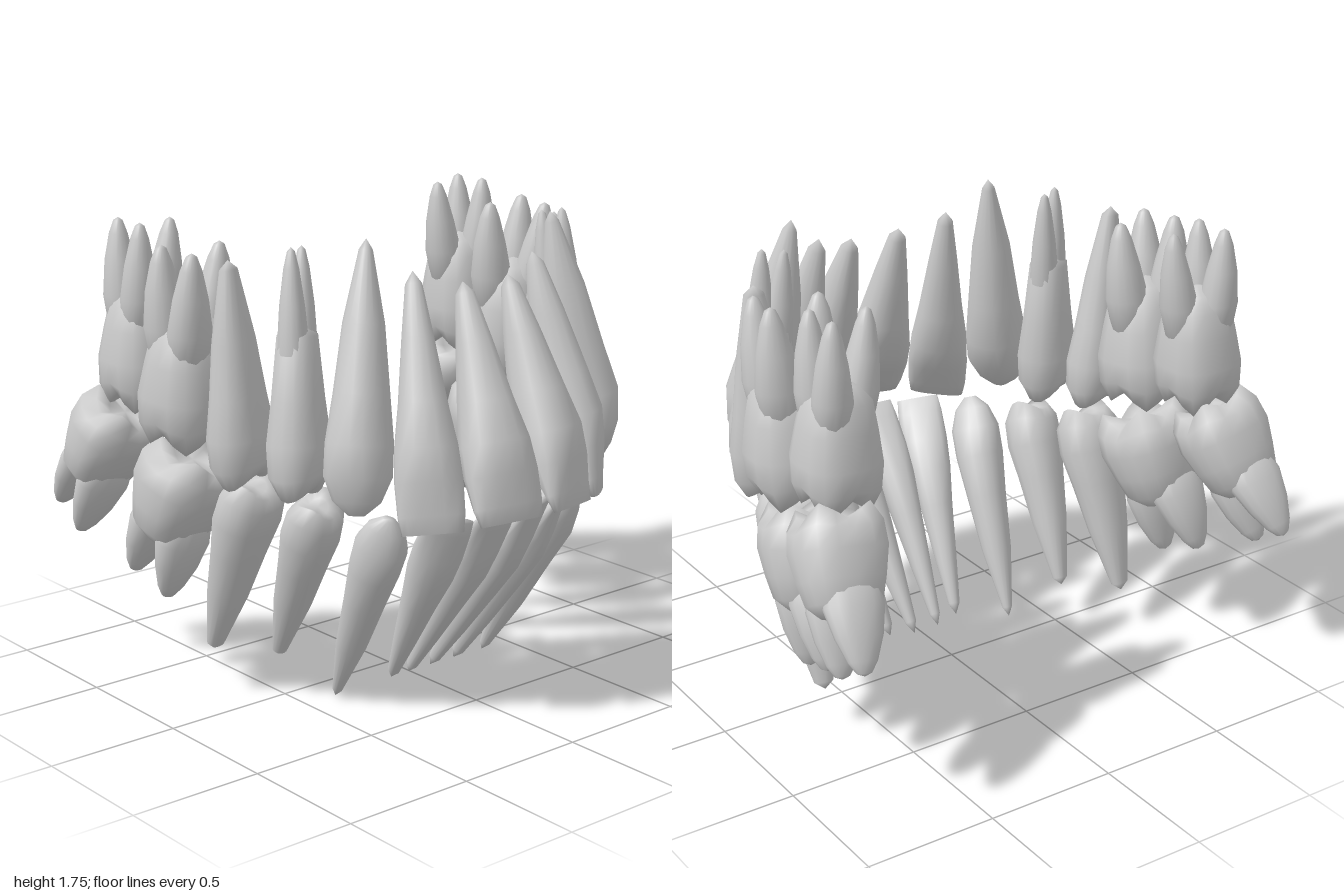
import * as THREE from 'three';

const SIDES = 16;
const material = new THREE.MeshStandardMaterial({ color: 0xcccccc });

// Skin over a stack of rings, closed by a point at both ends.
function loft(name, start, rings, end) {
  const points = [start, ...rings.flat(), end];
  const last = points.length - 1;
  const at = (i, j) => 1 + i * SIDES + (j % SIDES);
  const index = [];
  for (let j = 0; j < SIDES; j++) {
    index.push(0, at(0, j + 1), at(0, j));
    for (let i = 0; i < rings.length - 1; i++) {
      index.push(at(i, j), at(i, j + 1), at(i + 1, j + 1), at(i, j), at(i + 1, j + 1), at(i + 1, j));
    }
    index.push(at(rings.length - 1, j), at(rings.length - 1, j + 1), last);
  }
  const geometry = new THREE.BufferGeometry().setFromPoints(points);
  geometry.setIndex(index);
  geometry.computeVertexNormals();
  const mesh = new THREE.Mesh(geometry, material);
  mesh.name = name;
  return mesh;
}

// Profile rows: position along the axis, relative width, relative depth.
const INCISOR = {
  shift: 0.28, square: 0.6, cusps: 0, cuspHeight: 0, pit: 0,
  rows: [[0, 0.9, 0.18], [0.07, 0.98, 0.36], [0.2, 1, 0.75], [0.33, 0.93, 1], [0.5, 0.72, 0.9], [0.75, 0.47, 0.6], [0.95, 0.25, 0.3]],
};
const CANINE = {
  shift: 0.16, square: 0.3, cusps: 0, cuspHeight: 0, pit: 0,
  rows: [[0.01, 0.25, 0.16], [0.06, 0.72, 0.45], [0.15, 1, 0.8], [0.27, 0.97, 1], [0.45, 0.8, 0.86], [0.7, 0.6, 0.62], [0.96, 0.2, 0.2]],
};
const PREMOLAR = {
  shift: 0, square: 0.5, cusps: 2, cuspHeight: 0.025, pit: 0,
  rows: [[0.035, 0.35, 0.35], [0.02, 0.68, 0.68], [0.09, 0.95, 0.95], [0.22, 1, 1], [0.4, 0.84, 0.82], [0.65, 0.66, 0.62], [0.96, 0.27, 0.27]],
};
const MOLAR = {
  shift: 0, square: 1.2, cusps: 4, cuspHeight: 0.03, pit: 0.02,
  rows: [[0.06, 0.4, 0.4], [0.03, 0.75, 0.72], [0.12, 0.97, 0.95], [0.25, 1, 1], [0.42, 0.86, 0.9], [0.56, 0.74, 0.78], [0.64, 0.45, 0.5]],
};

// Root layouts: where each tip lies along the arch and outwards, root size, fork position.
const TWIN = { tips: [[0, 0.3], [0, -0.3]], size: [0.55, 0.45], fork: 0.7 };
const TRIPLE = { tips: [[0.5, 0.45], [-0.5, 0.45], [0, -0.75]], size: [0.48, 0.48], fork: 0.66 };
const PAIR = { tips: [[0.55, 0], [-0.55, 0]], size: [0.47, 0.67], fork: 0.66 };

// Each tooth: name, type, crown point, root point, half width and depth, root layout.
const UPPER = [
  ['CentralIncisor', INCISOR, [0.138, 0.785, 0.8], [0.105, 1.58, 0.52], [0.132, 0.11]],
  ['LateralIncisor', INCISOR, [0.375, 0.765, 0.68], [0.28, 1.63, 0.46], [0.118, 0.11]],
  ['Canine', CANINE, [0.565, 0.82, 0.51], [0.43, 1.75, 0.395], [0.118, 0.13]],
  ['FirstPremolar', PREMOLAR, [0.645, 0.86, 0.29], [0.6, 1.72, 0.23], [0.1, 0.13], TWIN],
  ['SecondPremolar', PREMOLAR, [0.725, 0.88, 0.08], [0.77, 1.67, 0.07], [0.098, 0.135]],
  ['FirstMolar', MOLAR, [0.77, 0.975, -0.19], [0.77, 1.69, -0.135], [0.155, 0.17], TRIPLE],
  ['SecondMolar', MOLAR, [0.78, 1.06, -0.47], [0.75, 1.74, -0.46], [0.142, 0.145], TRIPLE],
];
const LOWER = [
  ['CentralIncisor', INCISOR, [0.092, 0.8, 0.69], [0.055, 0.03, 0.18], [0.08, 0.075]],
  ['LateralIncisor', INCISOR, [0.26, 0.8, 0.64], [0.155, 0.04, 0.2], [0.09, 0.08]],
  ['Canine', CANINE, [0.435, 0.81, 0.53], [0.365, 0, 0.13], [0.095, 0.1]],
  ['FirstPremolar', PREMOLAR, [0.565, 0.83, 0.3], [0.52, 0.16, -0.01], [0.1, 0.115]],
  ['SecondPremolar', PREMOLAR, [0.665, 0.87, 0.07], [0.68, 0.17, -0.19], [0.105, 0.135]],
  ['FirstMolar', MOLAR, [0.735, 0.945, -0.19], [0.815, 0.4, -0.39], [0.165, 0.175], PAIR],
  ['SecondMolar', MOLAR, [0.81, 1.065, -0.5], [0.91, 0.585, -0.78], [0.145, 0.165], PAIR],
];

function makeTooth([name, type, crownPoint, rootPoint, [width, depth], roots], side) {
  const tooth = new THREE.Group();
  tooth.name = (side > 0 ? 'left' : 'right') + name;
  const crown = new THREE.Vector3(...crownPoint);
  const apex = new THREE.Vector3(...rootPoint);
  crown.x *= side;
  apex.x *= side;

  // Tooth frame: axis towards the root, outwards from an elliptical arch, and along the arch.
  const axis = apex.clone().sub(crown).normalize();
  const out = new THREE.Vector3(crown.x / 0.64, 0, (crown.z + 0.45) / 1.56);
  out.addScaledVector(axis, -out.dot(axis)).normalize();
  const along = out.clone().cross(axis);

  const onAxis = (t) => crown.clone().lerp(apex, t);
  const ring = (centre, w, d, power, cusp) => Array.from({ length: SIDES }, (_, j) => {
    const a = (j / SIDES) * Math.PI * 2;
    const co = Math.cos(a), si = Math.sin(a);
    const k = 1 / (Math.abs(co) ** power + Math.abs(si) ** power) ** (1 / power);
    return centre.clone().addScaledVector(along, co * k * w).addScaledVector(out, si * k * d)
      .addScaledVector(axis, cusp * Math.cos(a * type.cusps));
  });

  // Crown and trunk; a tooth with several roots stops at the fork.
  const fork = roots ? roots.fork : 1;
  const rows = type.rows.filter(([t]) => t < fork);
  const centre = (t) => onAxis(t).addScaledVector(out, type.shift * depth * Math.max(0, 1 - t / 0.45));
  const rings = rows.map(([t, w, d], i) => ring(centre(t), width * w, depth * d,
    2 + type.square * (1 - t * 0.5), type.cuspHeight * Math.max(0, 1 - Math.abs(i - 1) * 0.6)));
  tooth.add(loft('crown', centre(rows[0][0] + type.pit), rings, onAxis(roots ? fork + 0.02 : 1)));
  if (!roots) return tooth;

  // Separate roots bending out of the trunk.
  for (const [u, v] of roots.tips) {
    const spread = along.clone().multiplyScalar(u * width).addScaledVector(out, v * depth);
    const from = onAxis(0.4).addScaledVector(spread, 0.6);
    const tip = apex.clone().add(spread);
    const curve = new THREE.QuadraticBezierCurve3(from, onAxis(0.72).addScaledVector(spread, 0.95), tip);
    const rootRings = [[0, 0.9], [0.3, 1], [0.6, 0.78], [0.85, 0.48], [0.97, 0.24]].map(([t, s]) =>
      ring(curve.getPoint(t), width * roots.size[0] * s, depth * roots.size[1] * s, 2.2, 0));
    tooth.add(loft('root', from, rootRings, tip));
  }
  return tooth;
}

function makeArch(name, teeth) {
  const arch = new THREE.Group();
  arch.name = name;
  for (const tooth of teeth) {
    for (const side of [1, -1]) arch.add(makeTooth(tooth, side));
  }
  return arch;
}

export function createModel() {
  const model = new THREE.Group();
  model.name = 'teeth';
  model.add(makeArch('upperArch', UPPER), makeArch('lowerArch', LOWER));
  return model;
}
